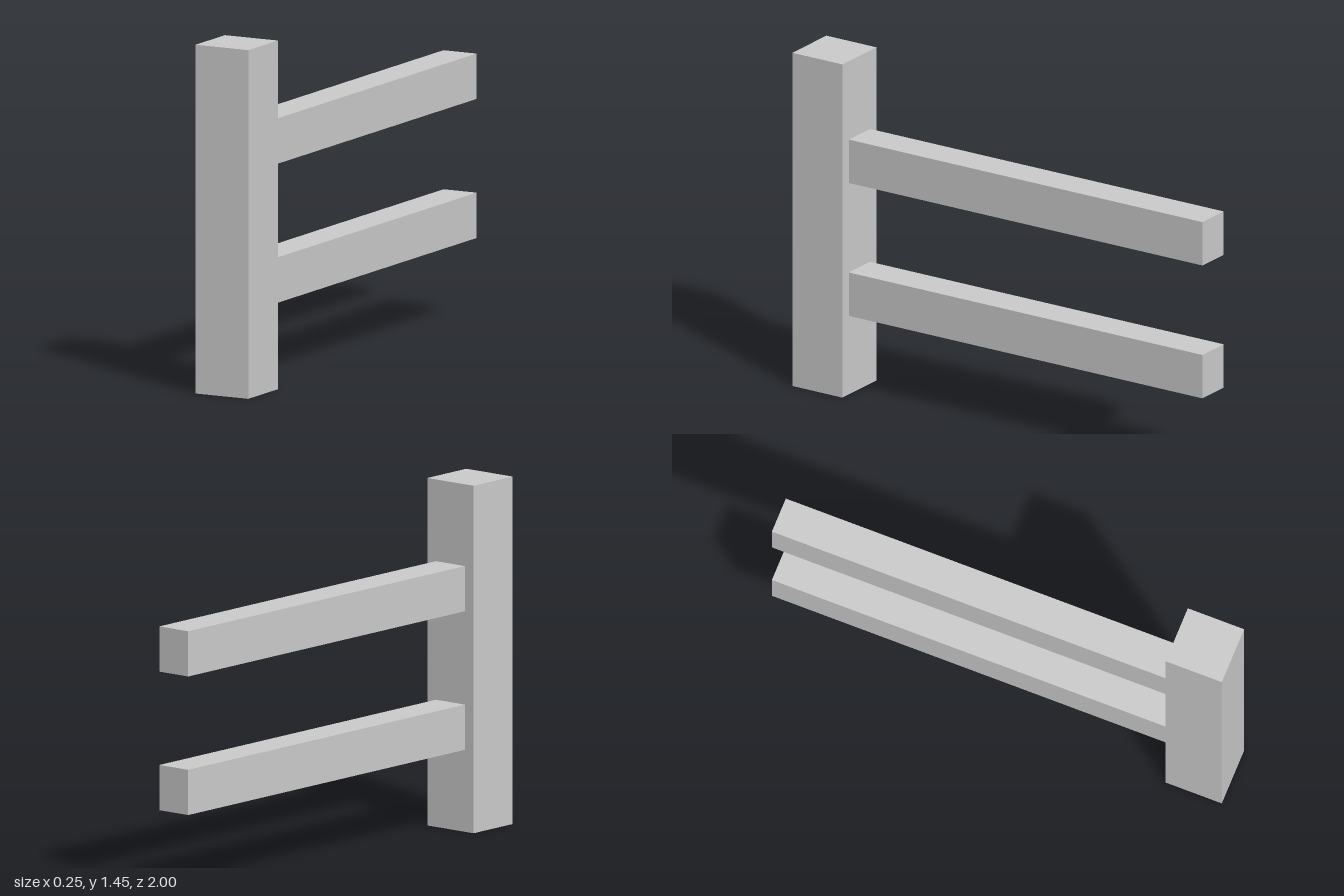
import * as THREE from 'three';

export function createModel() {
  const group = new THREE.Group();
  const material = new THREE.MeshStandardMaterial({ color: 0xcccccc, flatShading: true });

  const addBeam = (name, width, height, length, y, z) => {
    const mesh = new THREE.Mesh(new THREE.BoxGeometry(width, height, length), material);
    mesh.name = name;
    mesh.position.set(0, y, z);
    group.add(mesh);
  };

  // Upright post at the front end
  const postSize = 0.248, postHeight = 1.452;
  addBeam('post', postSize, postHeight, postSize, postHeight / 2, 1 - postSize / 2);

  // Two rails running back from the post
  const railLength = 2 - postSize;
  for (const [name, y] of [['lowerRail', 0.437], ['upperRail', 1.016]]) {
    addBeam(name, 0.155, 0.189, railLength, y, -1 + railLength / 2);
  }

  return group;
}
